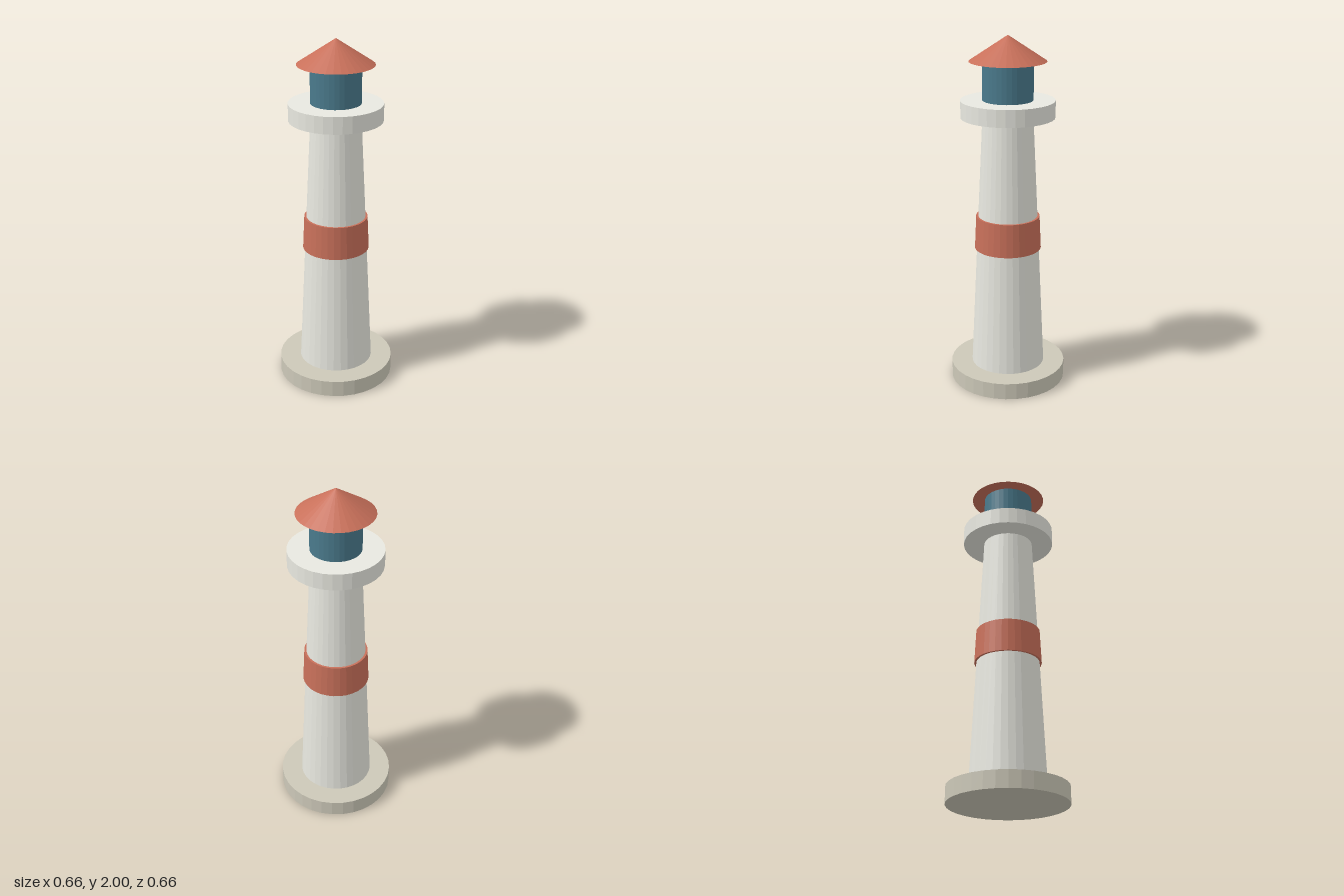
import * as THREE from 'three';

const SIDES = 32;

export function createModel() {
  const model = new THREE.Group();
  const paint = (color) => new THREE.MeshStandardMaterial({ color, flatShading: true });
  const white = paint(0xe8e8e0);
  const stone = paint(0xccc8b8);
  const red = paint(0xc8705a);
  const blue = paint(0x4a7a8c);

  // Round section from height y0 to y1, with bottom and top radii
  function section(name, y0, y1, rBottom, rTop, material) {
    const geometry = rTop === 0
      ? new THREE.ConeGeometry(rBottom, y1 - y0, SIDES)
      : new THREE.CylinderGeometry(rTop, rBottom, y1 - y0, SIDES);
    const mesh = new THREE.Mesh(geometry, material);
    mesh.name = name;
    mesh.position.y = (y0 + y1) / 2;
    model.add(mesh);
  }

  // Foundation and tapering tower with its painted band
  section('base', 0, 0.095, 0.33, 0.33, stone);
  section('tower', 0.095, 1.555, 0.21, 0.14, white);
  section('band', 0.8, 0.99, 0.188, 0.179, red);

  // Gallery, lantern room and conical roof
  section('gallery', 1.555, 1.65, 0.26, 0.26, white);
  section('lantern', 1.65, 1.86, 0.14, 0.14, blue);
  section('roof', 1.86, 2, 0.212, 0, red);

  return model;
}
